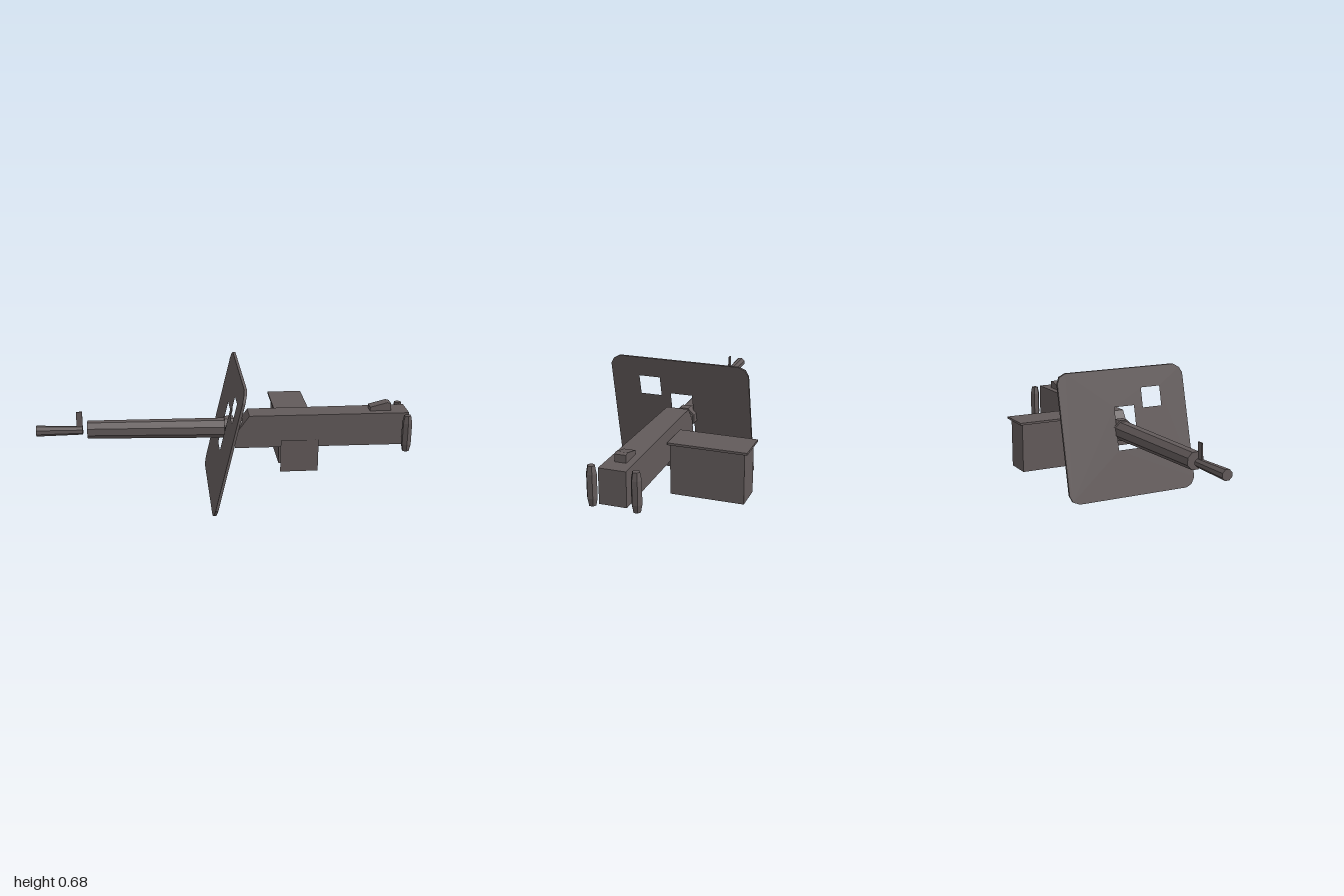
import * as THREE from 'three';

export function createModel() {
  const model = new THREE.Group();
  model.name = 'mountedGun';
  const gunmetal = new THREE.MeshStandardMaterial({ color: 0x625a5a });
  gunmetal.name = 'gunmetal';
  gunmetal.flatShading = true;
  const sheet = gunmetal.clone();
  sheet.name = 'gunmetalSheet';
  sheet.side = THREE.DoubleSide;

  const AXIS_Z = 0.034;

  function add(name, geometry, x = 0, y = 0, z = 0, material = gunmetal) {
    const mesh = new THREE.Mesh(geometry, material);
    mesh.name = name;
    mesh.position.set(x, y, z);
    model.add(mesh);
    return mesh;
  }
  const box = (name, x0, x1, y0, y1, z0, z1) =>
    add(name, new THREE.BoxGeometry(x1 - x0, y1 - y0, z1 - z0),
      (x0 + x1) / 2, (y0 + y1) / 2, (z0 + z1) / 2);

  // Faceted tube along x, radius r0 at x0 and r1 at x1
  function tube(name, x0, x1, r0, r1, y0, y1, sides = 8) {
    const g = new THREE.CylinderGeometry(r1, r0, x1 - x0, sides);
    g.rotateY(Math.PI / sides).rotateZ(-Math.PI / 2);
    const p = g.attributes.position;
    for (let i = 0; i < p.count; i++) {
      const t = p.getX(i) / (x1 - x0) + 0.5;
      p.setY(i, p.getY(i) + y0 + (y1 - y0) * t);
    }
    g.computeVertexNormals();
    return add(name, g, (x0 + x1) / 2, 0, AXIS_Z);
  }

  // Side profile in x and y, extruded across z
  function profile(points, depth) {
    const shape = new THREE.Shape(points.map(([x, y]) => new THREE.Vector2(x, y)));
    return new THREE.ExtrudeGeometry(shape, { depth, bevelEnabled: false }).translate(0, 0, -depth / 2);
  }

  // Barrel
  tube('muzzle', -1, -0.755, 0.029, 0.023, 0.358, 0.356);
  box('frontSight', -0.787, -0.755, 0.37, 0.46, 0.03, 0.038);
  tube('barrelJacket', -0.73, 0.03, 0.048, 0.054, 0.359, 0.349);
  tube('barrelCollar', 0.0, 0.05, 0.062, 0.062, 0.351, 0.351);
  tube('barrelNeck', 0.05, 0.15, 0.052, 0.04, 0.351, 0.351);

  // Receiver, widening slightly to the rear
  const receiver = profile([[0.055, 0.255], [0.99, 0.255], [0.99, 0.435], [0.13, 0.435], [0.068, 0.35], [0.055, 0.28]], 1);
  const rp = receiver.attributes.position;
  for (let i = 0; i < rp.count; i++) rp.setZ(i, rp.getZ(i) * (0.119 + 0.019 * rp.getX(i)));
  receiver.computeVertexNormals();
  add('receiver', receiver, 0, 0, 0.04);

  // Rear sight
  add('rearSight', profile([[0.787, 0.43], [0.9, 0.43], [0.9, 0.474], [0.88, 0.48], [0.787, 0.456]], 0.058), 0, 0, 0.037);

  // Twin six-sided grips
  const grip = [[0, -0.1], [0.019, -0.1], [0.027, -0.06], [0.027, 0.06], [0.019, 0.1], [0, 0.1]]
    .map(([r, y]) => new THREE.Vector2(r, y));
  [['leftGrip', 0.151], ['rightGrip', -0.071]].forEach(([name, z]) =>
    add(name, new THREE.LatheGeometry(grip, 6), 0.971, 0.335, z));

  // Ammunition box with overhanging lid, and the thin feed plate opposite
  box('ammoBox', 0.31, 0.468, 0.1, 0.374, -0.43, -0.043);
  box('ammoBoxLid', 0.293, 0.485, 0.371, 0.383, -0.447, -0.033);
  add('feedPlate', new THREE.PlaneGeometry(0.205, 0.18), 0.402, 0.205, 0.112, sheet);

  // Shield outline in z and y, with two openings, leaning to the rear
  const flip = (pts) => pts.map(([z, y]) => new THREE.Vector2(-z, y));
  const rect = (z0, z1, y0, y1) => new THREE.Path(flip([[z0, y0], [z1, y0], [z1, y1], [z0, y1]]));
  const outline = new THREE.Shape(flip([
    [0.39, 0], [0.425, 0.015], [0.448, 0.05], [0.44, 0.63], [0.422, 0.66], [0.387, 0.68],
    [-0.275, 0.68], [-0.312, 0.664], [-0.328, 0.63], [-0.328, 0.05], [-0.312, 0.016], [-0.275, 0],
  ]));
  outline.holes.push(rect(0.167, 0.284, 0.462, 0.57), rect(-0.008, 0.113, 0.25, 0.48));
  const shield = new THREE.ExtrudeGeometry(outline, { depth: 0.014, bevelEnabled: false });
  shield.translate(0, 0, -0.007).rotateY(Math.PI / 2);
  const sp = shield.attributes.position;
  for (let i = 0; i < sp.count; i++) sp.setX(i, sp.getX(i) + 0.235 * (sp.getY(i) - 0.34));
  shield.computeVertexNormals();
  add('shield', shield);

  return model;
}
